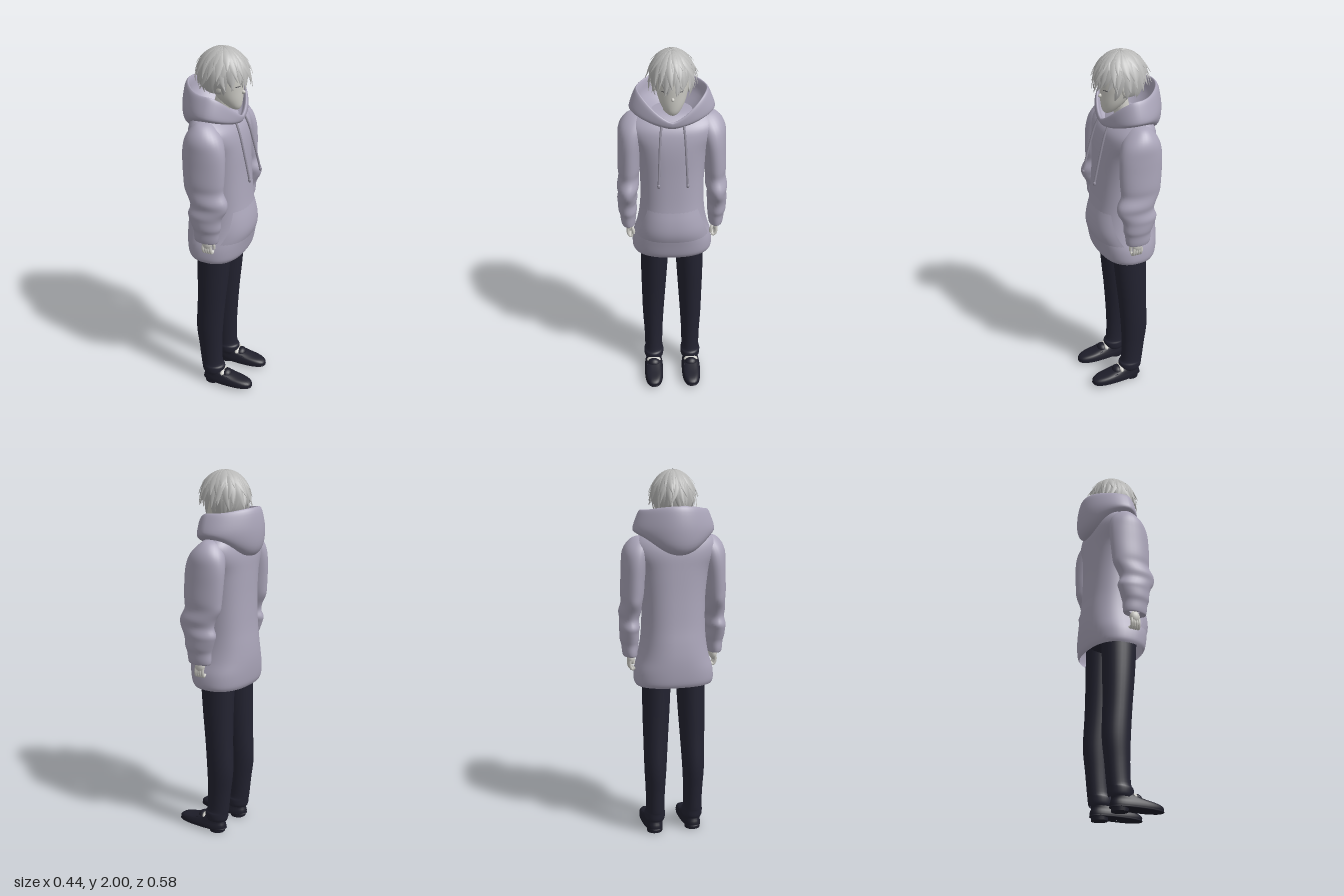
import * as THREE from 'three';

const mat = (name, color, side = THREE.FrontSide) => {
  const m = new THREE.MeshStandardMaterial({ color, side });
  m.name = name;
  return m;
};

// Surface from a grid of points; wrapU joins the last column to the first
function gridGeometry(nu, nv, fn, wrapU = false) {
  const pos = [], idx = [], cols = wrapU ? nu : nu + 1;
  for (let j = 0; j <= nv; j++) for (let i = 0; i < cols; i++) pos.push(...fn(i / nu, j / nv));
  for (let j = 0; j < nv; j++) for (let i = 0; i < nu; i++) {
    const n = (i + 1) % cols, a = j * cols + i, b = j * cols + n;
    idx.push(a, a + cols, b, b, a + cols, b + cols);
  }
  const g = new THREE.BufferGeometry();
  g.setAttribute('position', new THREE.Float32BufferAttribute(pos, 3));
  g.setIndex(idx);
  g.computeVertexNormals();
  return g;
}

// Smooth section [x, y, z, rx, rz] at row number v
function section(rows, v) {
  const i = Math.min(Math.floor(v), rows.length - 2), t = v - i;
  const at = k => rows[Math.max(0, Math.min(rows.length - 1, k))];
  return rows[0].map((_, c) => {
    const [p, a, b, n] = [at(i - 1)[c], at(i)[c], at(i + 1)[c], at(i + 2)[c]];
    const m0 = (b - p) / 2, m1 = (n - a) / 2;
    return a + m0 * t + (3 * (b - a) - 2 * m0 - m1) * t * t + (2 * (a - b) + m0 + m1) * t * t * t;
  });
}
const pw = (x, p) => Math.sign(x) * Math.abs(x) ** p;
function ringPoint(rows, v, a, p = 1, grow = 0) {
  const [x, y, z, rx, rz] = section(rows, v);
  return [x + (rx + grow) * pw(Math.cos(a), p), y, z + (rz + grow) * pw(Math.sin(a), p)];
}
// Loft of horizontal ovals listed from bottom to top
const loft = (rows, seg = 28, p = 1) => gridGeometry(seg, (rows.length - 1) * 4,
  (u, v) => ringPoint(rows, v * (rows.length - 1), u * Math.PI * 2, p), true);

const TORSO = [
  [-0.02, 0.865, 0, 0.145, 0.208], [-0.018, 0.89, 0, 0.158, 0.216], [-0.015, 0.95, 0, 0.168, 0.211],
  [-0.01, 1.02, 0, 0.175, 0.19], [-0.01, 1.1, 0, 0.17, 0.175], [-0.012, 1.2, 0, 0.158, 0.168],
  [-0.015, 1.35, 0, 0.148, 0.17], [-0.018, 1.48, 0, 0.143, 0.188], [-0.024, 1.56, 0, 0.136, 0.225],
  [-0.03, 1.61, 0, 0.122, 0.232], [-0.042, 1.65, 0, 0.095, 0.205], [-0.05, 1.672, 0, 0.065, 0.16],
  [-0.05, 1.675, 0, 0.01, 0.02]];
const SLEEVE = [
  [0.0, 1.035, 0.235, 0.03, 0.02], [0.0, 1.02, 0.235, 0.06, 0.034], [0.0, 1.04, 0.236, 0.068, 0.04],
  [0.002, 1.08, 0.236, 0.071, 0.044], [0.002, 1.11, 0.238, 0.08, 0.05], [-0.004, 1.15, 0.24, 0.088, 0.05],
  [-0.003, 1.18, 0.238, 0.096, 0.054], [0.014, 1.22, 0.236, 0.1, 0.05], [0.01, 1.26, 0.233, 0.105, 0.058],
  [-0.014, 1.31, 0.228, 0.106, 0.054], [-0.016, 1.36, 0.225, 0.11, 0.06], [-0.018, 1.44, 0.22, 0.114, 0.062],
  [-0.021, 1.52, 0.212, 0.113, 0.068], [-0.025, 1.58, 0.2, 0.1, 0.076], [-0.03, 1.625, 0.18, 0.074, 0.076],
  [-0.035, 1.658, 0.16, 0.04, 0.058], [-0.035, 1.668, 0.15, 0.005, 0.005]];
const LEG = [
  [-0.02, 0.07, 0.108, 0.06, 0.05], [-0.02, 0.085, 0.108, 0.066, 0.056], [-0.021, 0.115, 0.108, 0.068, 0.057],
  [-0.03, 0.14, 0.108, 0.064, 0.051], [-0.038, 0.25, 0.108, 0.068, 0.053], [-0.043, 0.38, 0.108, 0.077, 0.06],
  [-0.034, 0.55, 0.104, 0.08, 0.067], [-0.026, 0.7, 0.1, 0.087, 0.073], [-0.02, 0.86, 0.095, 0.095, 0.077],
  [-0.02, 0.98, 0.09, 0.1, 0.08]];
const SHOE = [
  [0.07, 0.016, 0.11, 0.005, 0.002], [0.07, 0.017, 0.11, 0.137, 0.048], [0.07, 0.026, 0.11, 0.146, 0.054],
  [0.07, 0.042, 0.11, 0.145, 0.053], [0.06, 0.056, 0.11, 0.13, 0.049], [0.03, 0.068, 0.11, 0.097, 0.045],
  [-0.005, 0.085, 0.11, 0.066, 0.04], [-0.02, 0.1, 0.11, 0.05, 0.036]];
const HEAD = [
  [0.07, 1.682, 0, 0.006, 0.008], [0.062, 1.69, 0, 0.024, 0.026], [0.05, 1.71, 0, 0.044, 0.044],
  [0.032, 1.745, 0, 0.066, 0.064], [0.016, 1.79, 0, 0.084, 0.078], [0.006, 1.84, 0, 0.096, 0.088],
  [0, 1.9, 0, 0.098, 0.09], [0, 1.95, 0, 0.07, 0.066], [0, 1.97, 0, 0.01, 0.01]];

// Hood cross-section: [back radius, side radius, front radius, back y, side y, front y]
const HOOD = [
  [0.08, 0.08, 0.08, 1.63, 1.65, 1.63], [0.145, 0.15, 0.1, 1.73, 1.725, 1.635],
  [0.158, 0.168, 0.11, 1.8, 1.775, 1.65], [0.168, 0.178, 0.12, 1.82, 1.795, 1.655],
  [0.185, 0.194, 0.126, 1.79, 1.77, 1.648], [0.197, 0.217, 0.124, 1.7, 1.705, 1.632],
  [0.188, 0.208, 0.118, 1.61, 1.68, 1.622], [0.15, 0.17, 0.108, 1.57, 1.66, 1.615],
  [0.09, 0.1, 0.08, 1.6, 1.645, 1.615]];
function hoodPoint(u, v) {
  const t = u * Math.PI * 2, c = Math.cos(t), s = Math.sin(t);
  const [xb, zs, xf, yb, ys, yf] = section(HOOD, v * (HOOD.length - 1));
  // Straighter flanks behind, V-shaped opening in front
  const r = c < 0 ? 1 - 0.05 * Math.sin(2 * t) ** 2 : 1;
  const w = c > 0 ? 1 - Math.abs(s) ** 1.4 : c * c;
  return [-0.02 + r * c * (c > 0 ? xf : xb), ys + ((c > 0 ? yf : yb) - ys) * w, r * zs * s];
}

// Point on the hair volume: azimuth 0 is the face, polar 0 the crown
function hairPoint(az, polar, r) {
  let h = Math.sin(polar);
  if (polar > Math.PI / 2) h = 0.45 + 0.55 * h;
  return [-0.006 + 0.126 * r * h * Math.cos(az), 1.873 + 0.121 * Math.cos(polar) * Math.min(r, 1.04),
    0.106 * r * h * Math.sin(az)];
}
// Pointed, ridged lock running down the hair volume
function lockGeometry(az, p0, p1, width, flare, twist) {
  return gridGeometry(4, 8, (u, v) => {
    const k = u * 2 - 1, w = width * Math.min(1, 0.35 + 2 * v) * (1 - v ** 1.8);
    const polar = p0 + (p1 - p0) * v;
    const r = 1.0 + 0.05 * (1 - k * k) * (1 - v * 0.6) + flare * v ** 2.5;
    return hairPoint(az + twist * v * v + k * w / Math.max(0.35, Math.sin(polar)), polar, r);
  });
}

export function createModel() {
  const fabric = mat('lavender fabric', 0xaaa5b9, THREE.DoubleSide);
  const cord = mat('cord grey', 0x918d9d);
  const trouser = mat('navy trousers', 0x232331, THREE.DoubleSide);
  const leather = mat('dark leather', 0x1e1e2a);
  const skin = mat('pale skin', 0xcfcec8);
  const hair = mat('silver hair', 0xb8b8b7, THREE.DoubleSide);
  const dark = mat('eye grey', 0x55555a, THREE.DoubleSide);

  const model = new THREE.Group();
  const add = (name, geo, m, parent = model) => {
    const mesh = new THREE.Mesh(geo, m);
    mesh.name = name;
    parent.add(mesh);
    return mesh;
  };
  const blob = (name, m, parent, x, y, z, rx, ry, rz) => {
    const b = add(name, new THREE.SphereGeometry(1, 16, 12), m, parent);
    b.position.set(x, y, z);
    b.scale.set(rx, ry, rz);
  };
  const tube = (name, pts, r, m, parent) => add(name, new THREE.TubeGeometry(
    new THREE.CatmullRomCurve3(pts.map(p => new THREE.Vector3(...p))), 14, r, 8), m, parent);

  // Hooded top; the pocket melts into the body above and below
  add('hoodieBody', loft(TORSO, 48, 0.83), fabric);
  add('hood', gridGeometry(48, 32, hoodPoint, true), fabric);
  add('frontPocket', gridGeometry(24, 12, (u, v) => {
    const half = 1.25 - 0.45 * v;
    return ringPoint(TORSO, 2.3 + 2.5 * v, (u * 2 - 1) * half, 0.83, 0.009 * Math.sin(Math.PI * v) - 0.002);
  }), fabric);

  // Neck and head
  tube('neck', [[-0.03, 1.6, 0], [-0.015, 1.68, 0], [0.005, 1.76, 0]], 0.045, skin, model);
  add('head', loft(HEAD), skin);
  blob('nose', skin, model, 0.1, 1.778, 0, 0.014, 0.01, 0.008);

  // Hair: cap, nape and layered locks
  add('hairCap', gridGeometry(32, 10, (u, v) => hairPoint(u * Math.PI * 2, 0.001 + 1.5 * (1 - v), 1.0), true), hair);
  add('hairNape', gridGeometry(20, 12, (u, v) => hairPoint(1.35 + u * 3.58, 1.2 + 1.3 * v, 0.98)), hair);
  const locks = new THREE.Group();
  locks.name = 'hairLocks';
  model.add(locks);
  let seed = 7;
  const rnd = () => (seed = (seed * 16807) % 2147483647) / 2147483647;
  // [start, end, width, flare, count] for each layer
  [[0.02, 1.3, 0.24, 0.12, 13], [0.4, 1.7, 0.22, 0.2, 17], [0.8, 2.05, 0.2, 0.24, 21], [1.1, 2.4, 0.22, 0.1, 22]]
    .forEach(([p0, p1, w, flare, n], layer) => {
      for (let i = 0; i < n; i++) {
        const az = ((i + 0.5 * (layer % 2)) / n) * Math.PI * 2 + (rnd() - 0.5) * 0.2;
        const front = Math.cos(az) > 0.45;
        const end = Math.min(p1, front ? 1.98 : 9) + (rnd() - 0.5) * 0.35;
        add('hairLock', lockGeometry(az, p0, end, w, flare + (rnd() - 0.5) * 0.16, (rnd() - 0.5) * 0.6), hair, locks);
      }
    });

  // Trouser seat above the hem
  blob('trouserSeat', trouser, model, -0.02, 0.96, 0, 0.12, 0.08, 0.165);

  // Paired parts: z > 0 is built first, then mirrored
  for (const s of [1, -1]) {
    const side = new THREE.Group();
    side.name = s > 0 ? 'rightParts' : 'leftParts';
    side.scale.z = s;
    model.add(side);
    add('sleeve', loft(SLEEVE), fabric, side);
    add('trouserLeg', loft(LEG), trouser, side);

    // Shoe with tongue, strap and heel; the sock shows at the sides
    add('shoe', loft(SHOE, 36, 0.78), leather, side);
    blob('sock', skin, side, 0.044, 0.077, 0.11, 0.02, 0.022, 0.042);
    blob('shoeTongue', leather, side, 0.064, 0.07, 0.11, 0.03, 0.03, 0.036);
    const strap = add('shoeStrap', new THREE.BoxGeometry(0.03, 0.012, 0.085), leather, side);
    strap.position.set(0.088, 0.061, 0.11);
    strap.rotation.z = -0.3;
    const heel = add('shoeHeel', new THREE.CylinderGeometry(0.045, 0.043, 0.024, 20), leather, side);
    heel.position.set(-0.025, 0.012, 0.11);

    // Hand with curled fingers and thumb
    blob('palm', skin, side, 0.002, 1.005, 0.232, 0.029, 0.036, 0.02);
    for (let f = 0; f < 4; f++) {
      const x = -0.02 + f * 0.014;
      tube('finger', [[x, 0.995, 0.238], [x + 0.002, 0.965, 0.238], [x + 0.004, 0.947, 0.226], [x + 0.004, 0.955, 0.212]],
        0.0085, skin, side);
    }
    tube('thumb', [[0.018, 1.015, 0.222], [0.03, 0.99, 0.212], [0.03, 0.965, 0.208]], 0.009, skin, side);

    // Drawstring
    tube('drawstring', [[0.085, 1.64, 0.055], [0.11, 1.58, 0.062], [0.14, 1.47, 0.068], [0.173, 1.335, 0.074]],
      0.006, cord, side);
    blob('drawstringTip', cord, side, 0.173, 1.335, 0.074, 0.008, 0.012, 0.008);

    // Ear and eyelid line
    blob('ear', skin, side, 0.005, 1.815, 0.086, 0.018, 0.028, 0.01);
    add('eyelid', gridGeometry(6, 1, (u, v) => ringPoint(HEAD, 4.5 + 0.09 * v, 0.32 + 0.36 * u, 1, 0.002)), dark, side);
  }
  return model;
}
